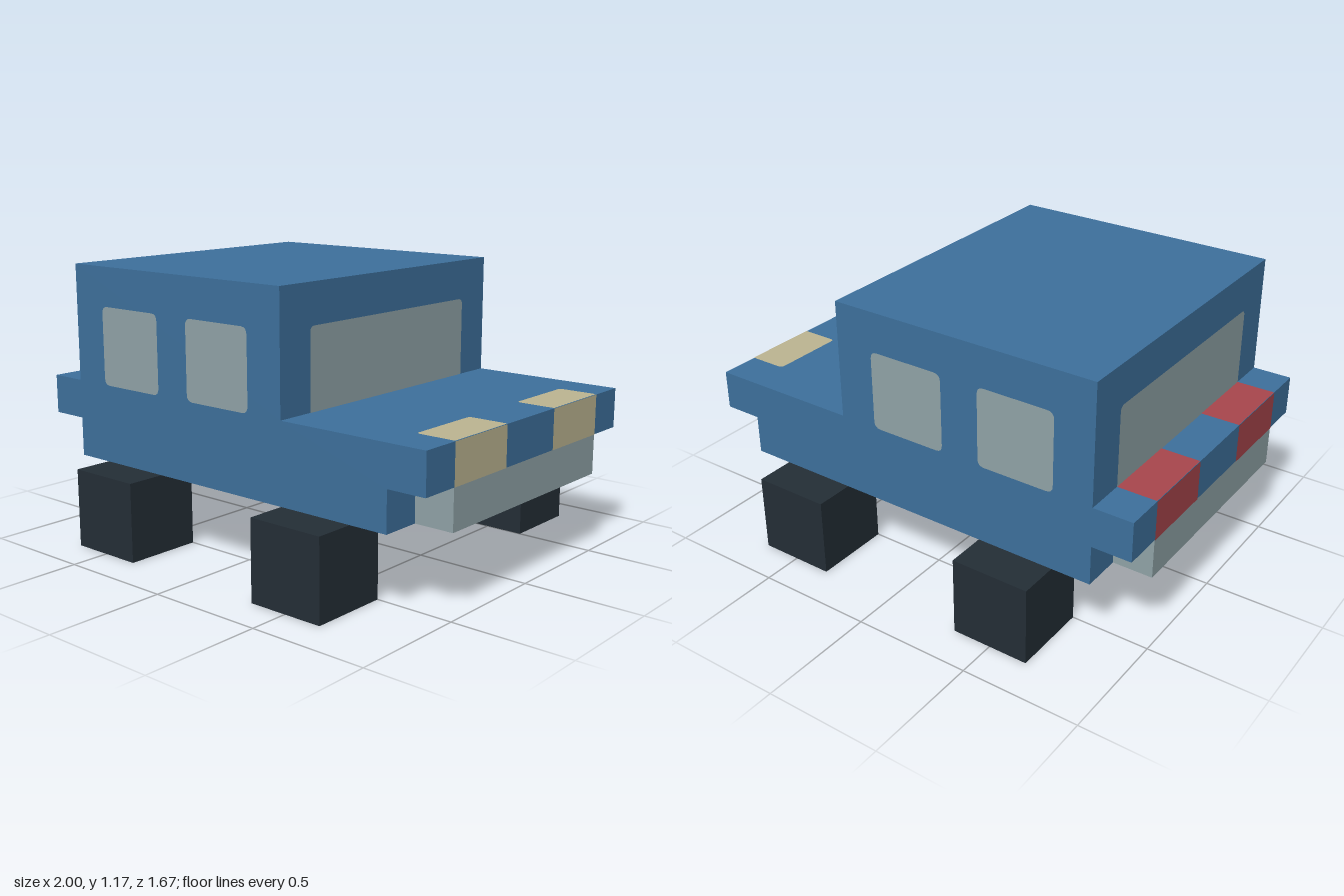
import * as THREE from 'three';

const U = 1 / 6; // the whole car sits on a grid of this unit

const material = (name, color) => {
  const m = new THREE.MeshStandardMaterial({ color });
  m.name = name;
  return m;
};

// Flat plate w x h, with separate radii for its lower and upper corners
function plateGeometry(w, h, rLow, rHigh) {
  const x = w / 2, y = h / 2, s = new THREE.Shape();
  s.moveTo(-x + rLow, -y);
  s.lineTo(x - rLow, -y);
  s.quadraticCurveTo(x, -y, x, -y + rLow);
  s.lineTo(x, y - rHigh);
  s.quadraticCurveTo(x, y, x - rHigh, y);
  s.lineTo(-x + rHigh, y);
  s.quadraticCurveTo(-x, y, -x, y - rHigh);
  s.lineTo(-x, -y + rLow);
  s.quadraticCurveTo(-x, -y, -x + rLow, -y);
  return new THREE.ShapeGeometry(s, 4);
}

export function createModel() {
  const car = new THREE.Group();
  car.name = 'car';

  const paint = material('bluePaint', 0x3d709c);
  const glass = material('greyGlass', 0x90a3a7);
  const rubber = material('darkRubber', 0x242e36);
  const yellow = material('headlightYellow', 0xbdb592);
  const red = material('tailLightRed', 0xa8464c);

  const add = (name, geometry, mat, x, y, z) => {
    const mesh = new THREE.Mesh(geometry, mat);
    mesh.name = name;
    mesh.position.set(x, y, z);
    car.add(mesh);
    return mesh;
  };

  // Body: side profile extruded across the width
  const profile = [[-5, 2], [5, 2], [5, 3], [6, 3], [6, 4], [2, 4], [2, 7], [-5, 7], [-5, 4], [-6, 4], [-6, 3], [-5, 3]];
  const side = new THREE.Shape(profile.map(([x, y]) => new THREE.Vector2(x * U, y * U)));
  const bodyGeometry = new THREE.ExtrudeGeometry(side, { depth: 8 * U, bevelEnabled: false });
  add('body', bodyGeometry, paint, 0, 0, -4 * U);

  // Block wheels
  const wheelGeometry = new THREE.BoxGeometry(2 * U, 2 * U, 2 * U);
  for (const x of [-3, 3]) {
    for (const z of [-4, 4]) add('wheel', wheelGeometry, rubber, x * U, U, z * U);
  }

  // Bumpers tucked under both ends
  const bumperGeometry = new THREE.BoxGeometry(U, U, 6 * U);
  add('frontBumper', bumperGeometry, glass, 5.5 * U, 2.5 * U, 0);
  add('rearBumper', bumperGeometry, glass, -5.5 * U, 2.5 * U, 0);

  // Side windows, two on each side
  const lift = 0.002;
  const windowGeometry = plateGeometry(2 * U, 2 * U, 0.03, 0.03);
  for (const s of [-1, 1]) {
    for (const x of [-3, 0]) {
      const pane = add('sideWindow', windowGeometry, glass, x * U, 5 * U, s * (4 * U + lift));
      if (s < 0) pane.rotation.y = Math.PI;
    }
  }

  // Windscreen and rear window
  const screenGeometry = plateGeometry(6 * U, 2 * U, 0, 0.025);
  add('windscreen', screenGeometry, glass, 2 * U + lift, 5 * U, 0).rotation.y = Math.PI / 2;
  add('rearWindow', screenGeometry, glass, -5 * U - lift, 5 * U, 0).rotation.y = -Math.PI / 2;

  // Lights: an end plate and a top plate that wraps over the edge
  const endGeometry = plateGeometry(2 * U, U, 0, 0);
  for (const s of [-1, 1]) {
    const name = s > 0 ? 'headlight' : 'tailLight';
    const mat = s > 0 ? yellow : red;
    const topGeometry = plateGeometry(2 * U, U, 0, s > 0 ? 0.018 : 0.005);
    topGeometry.rotateX(-Math.PI / 2);
    for (const z of [-2, 2]) {
      add(name + 'End', endGeometry, mat, s * (6 * U + lift), 3.5 * U, z * U).rotation.y = s * Math.PI / 2;
      add(name + 'Top', topGeometry, mat, s * 5.5 * U, 4 * U + lift, z * U).rotation.y = s * Math.PI / 2;
    }
  }

  return car;
}
